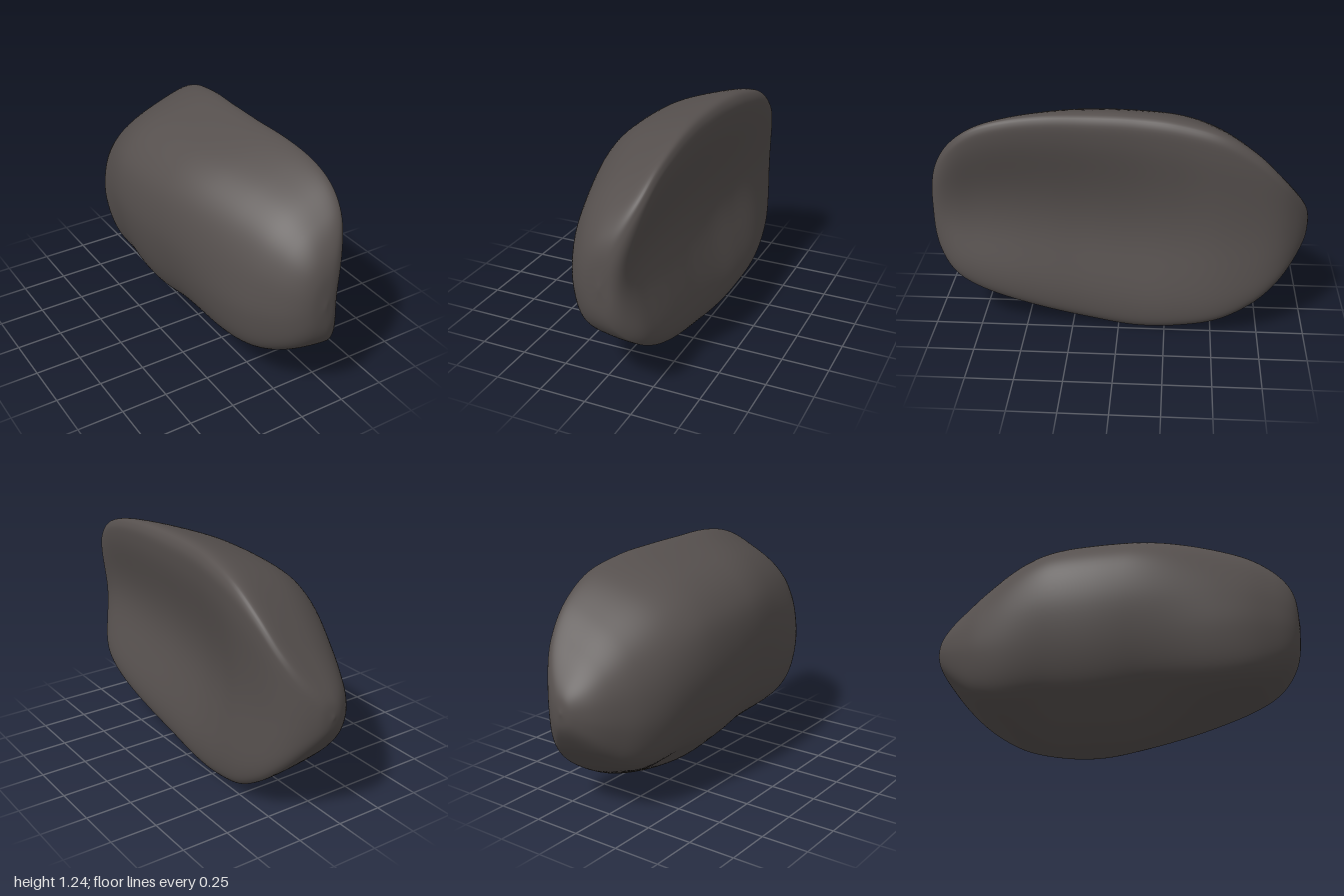
import * as THREE from 'three';

// Stations from front tip to back tip: z, left x, right x, bottom y, top y, dish depth
const STATIONS = [
  [1.0, 0.10, 0.10, 0.64, 0.64, 0.0],
  [0.985, 0.015, 0.175, 0.475, 0.82, 0.01],
  [0.94, -0.055, 0.23, 0.375, 0.95, 0.03],
  [0.86, -0.12, 0.272, 0.30, 1.065, 0.06],
  [0.74, -0.185, 0.291, 0.235, 1.155, 0.085],
  [0.58, -0.235, 0.297, 0.17, 1.208, 0.10],
  [0.38, -0.275, 0.292, 0.10, 1.235, 0.105],
  [0.16, -0.305, 0.285, 0.04, 1.24, 0.105],
  [-0.08, -0.322, 0.29, 0.0, 1.237, 0.095],
  [-0.30, -0.315, 0.31, 0.015, 1.22, 0.075],
  [-0.52, -0.275, 0.325, 0.075, 1.165, 0.042],
  [-0.70, -0.215, 0.312, 0.18, 1.05, 0.02],
  [-0.83, -0.145, 0.277, 0.295, 0.915, 0.005],
  [-0.92, -0.075, 0.22, 0.405, 0.795, 0.0],
  [-0.98, 0.005, 0.145, 0.505, 0.69, 0.0],
  [-1.0, 0.07, 0.07, 0.60, 0.60, 0.0],
];

// Domed cross-sections (u across, v up), clockwise from the bottom
const MIDDLE_SECTION = [
  [0.81, 0], [0.56, 0.06], [0.33, 0.155], [0.17, 0.24], [0.06, 0.38], [0, 0.56],
  [0.03, 0.72], [0.14, 0.825], [0.33, 0.905], [0.60, 0.963], [0.88, 1], [0.98, 0.97],
  [1, 0.88], [1, 0.70], [1, 0.48], [1, 0.28], [0.98, 0.11], [0.93, 0.02],
];
// Toward the ends the dome sags to a low corner and the rim gets sharper
const END_SECTION = [
  [0.88, 0], [0.55, 0.015], [0.25, 0.05], [0.08, 0.14], [0, 0.33], [0.02, 0.50],
  [0.09, 0.64], [0.22, 0.77], [0.42, 0.87], [0.70, 0.95], [0.92, 1], [0.985, 0.975],
  [1, 0.90], [1, 0.70], [1, 0.48], [1, 0.25], [0.99, 0.09], [0.95, 0.015],
];

const spline = (points, closed = false) =>
  new THREE.CatmullRomCurve3(points.map(p => new THREE.Vector3(...p)), closed, 'catmullrom', 0.5);
const sectionLoop = points => spline(points.map(([u, v]) => [u, v, 0]), true);

function pebbleGeometry(rows = 120, cols = 108) {
  const { lerp, clamp, smoothstep } = THREE.MathUtils;
  const plan = spline(STATIONS.map(s => s.slice(0, 3)));
  const side = spline(STATIONS.map(s => s.slice(3)));
  const middleLoop = sectionLoop(MIDDLE_SECTION), endLoop = sectionLoop(END_SECTION);
  const positions = [], index = [];
  for (let i = 0; i <= rows; i++) {
    const { x: z, y: left, z: right } = plan.getPoint(i / rows);
    const { x: bottom, y: top, z: dish } = side.getPoint(i / rows);
    const end = smoothstep(z, 0.1, 0.8) + 0.85 * smoothstep(-z, 0.3, 0.8);
    // the very tips turn into plain ovals
    const oval = 0.8 * Math.pow(Math.min(1, Math.abs(z)), 16);
    for (let j = 0; j < cols; j++) {
      const p = middleLoop.getPoint(j / cols).lerp(endLoop.getPoint(j / cols), end);
      const angle = Math.PI * 2 * j / cols;
      const u = lerp(p.x, 0.5 - 0.5 * Math.sin(angle), oval);
      const v = lerp(p.y, 0.5 - 0.5 * Math.cos(angle), oval);
      // hollow the flat side
      const hollow = Math.sin(Math.PI * clamp(v, 0, 1)) ** 2 * smoothstep(u, 0.4, 1);
      positions.push(left + u * (right - left) - dish * hollow, bottom + v * (top - bottom), z);
      if (i < rows) {
        const k = (j + 1) % cols, a = i * cols + j, b = i * cols + k;
        index.push(a, b, a + cols, b, b + cols, a + cols);
      }
    }
  }
  const geometry = new THREE.BufferGeometry();
  geometry.setAttribute('position', new THREE.Float32BufferAttribute(positions, 3));
  geometry.setIndex(index);
  geometry.computeVertexNormals();
  // the tips point straight along z
  const normal = geometry.attributes.normal;
  for (let j = 0; j < cols; j++) {
    normal.setXYZ(j, 0, 0, 1);
    normal.setXYZ(rows * cols + j, 0, 0, -1);
  }
  return geometry;
}

export function createModel() {
  const group = new THREE.Group();
  group.name = 'stone';
  const stone = new THREE.Mesh(pebbleGeometry(), new THREE.MeshStandardMaterial({ color: 0x56504e }));
  stone.name = 'pebble';
  group.add(stone);
  return group;
}
